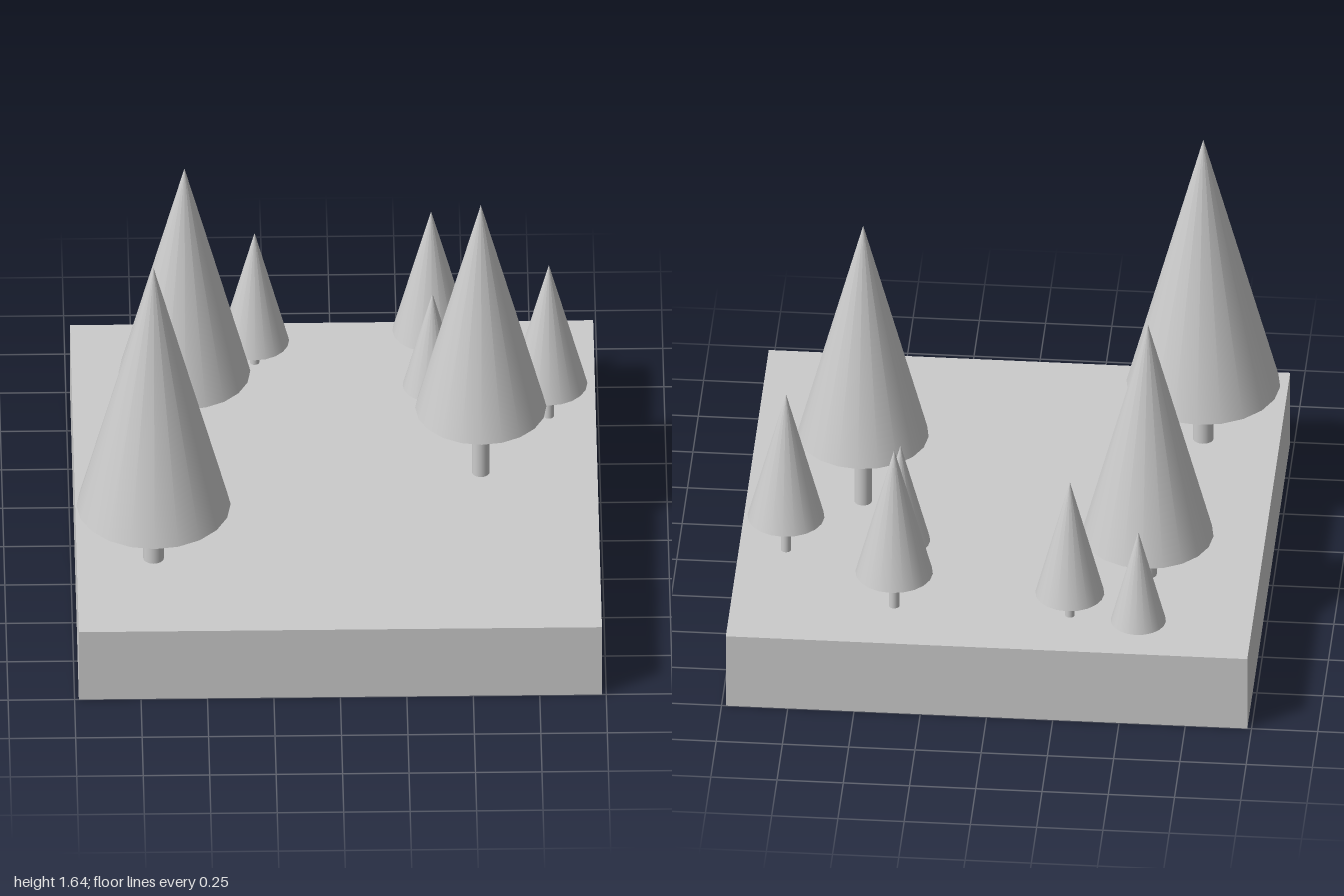
import * as THREE from 'three';

const BASE_TOP = 0.31;

// x, z, crown radius, crown bottom, tip height, trunk radius
const TREES = [
  [-0.695, 0.52, 0.29, 0.555, 1.645, 0.039],
  [-0.563, -0.437, 0.248, 0.49, 1.425, 0.034],
  [0.545, -0.018, 0.247, 0.61, 1.54, 0.033],
  [-0.558, -0.817, 0.104, 0.345, 0.74, 0.014],
  [-0.294, -0.748, 0.13, 0.41, 0.905, 0.018],
  [0.37, -0.736, 0.146, 0.46, 1.005, 0.02],
  [0.37, -0.44, 0.112, 0.415, 0.837, 0.016],
  [0.807, -0.38, 0.145, 0.46, 1.005, 0.019],
];

export function createModel() {
  const model = new THREE.Group();
  const material = new THREE.MeshStandardMaterial({ color: 0xcccccc });

  const addPart = (parent, name, geometry, y) => {
    const mesh = new THREE.Mesh(geometry, material);
    mesh.name = name;
    mesh.position.y = y;
    parent.add(mesh);
  };

  // Square slab of ground
  addPart(model, 'groundSlab', new THREE.BoxGeometry(1.968, BASE_TOP, 2), BASE_TOP / 2);

  // Conifers: a plain trunk under a closed cone
  TREES.forEach(([x, z, radius, bottom, tip, trunkRadius], i) => {
    const tree = new THREE.Group();
    tree.name = `tree${i + 1}`;
    tree.position.set(x, 0, z);

    const trunkHeight = bottom - BASE_TOP;
    addPart(tree, 'trunk',
      new THREE.CylinderGeometry(trunkRadius, trunkRadius, trunkHeight, 20),
      BASE_TOP + trunkHeight / 2);
    addPart(tree, 'crown',
      new THREE.ConeGeometry(radius, tip - bottom, 20),
      (bottom + tip) / 2);
    model.add(tree);
  });

  return model;
}
